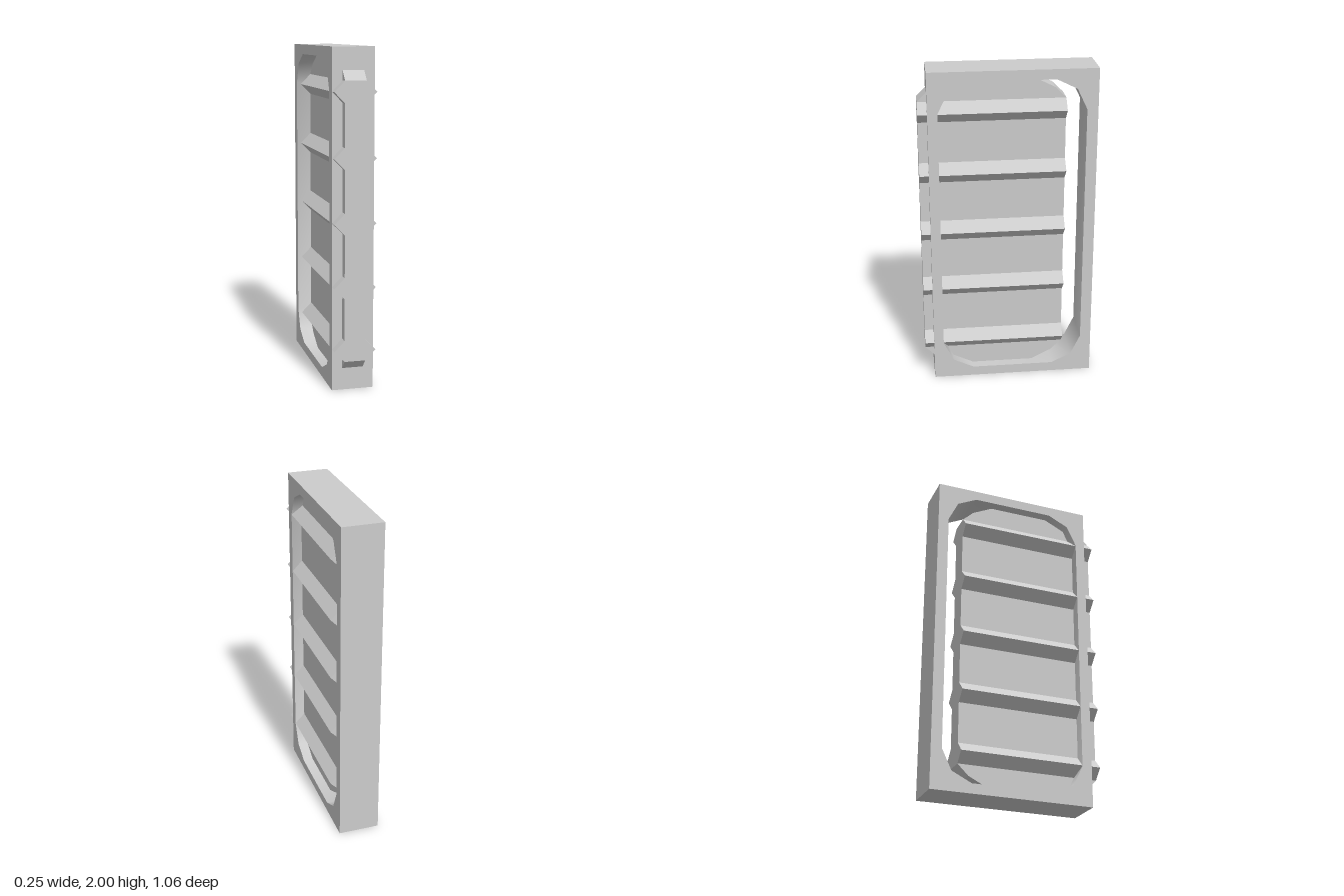
import * as THREE from 'three';
import { toCreasedNormals } from 'three/addons/utils/BufferGeometryUtils.js';

const material = new THREE.MeshStandardMaterial({ color: 0xcccccc });

// Counter-clockwise outline mirrored about y = 1; upper points run front to back as [z, y]
function mirroredOutline(upper) {
  const lower = upper.map(([z, y]) => [z, 2 - y]).reverse();
  return [...upper, ...lower].map(([z, y]) => new THREE.Vector2(z, y));
}

// Extrudes a z-y outline along x, centred on x = 0; edges below the crease angle are smoothed
function slab(name, shape, width, crease) {
  const geometry = new THREE.ExtrudeGeometry(shape, { depth: width, bevelEnabled: false });
  geometry.translate(0, 0, -width / 2);
  geometry.rotateY(-Math.PI / 2);
  const mesh = new THREE.Mesh(toCreasedNormals(geometry, crease), material);
  mesh.name = name;
  return mesh;
}

export function createModel() {
  const model = new THREE.Group();
  model.name = 'slidingDoor';

  // Surrounding frame with a softly rounded opening
  const frame = new THREE.Shape(mirroredOutline([[0.472, 2], [-0.528, 2]]));
  frame.holes.push(new THREE.Path(mirroredOutline([
    [0.412, 1.755], [0.35, 1.88], [0.225, 1.94],
    [-0.28, 1.94], [-0.402, 1.88], [-0.462, 1.755],
  ])));
  model.add(slab('frame', frame, 0.25, 0.8));

  // Thin door panel, slid partly out through the front of the frame
  const panel = new THREE.Shape(mirroredOutline([
    [0.528, 1.813], [0.465, 1.875], [0.34, 1.94],
    [-0.155, 1.94], [-0.28, 1.878], [-0.347, 1.813],
  ]));
  model.add(slab('doorPanel', panel, 0.125, 0.1));

  // Horizontal ridges, pointed on both sides of the panel
  const ridge = new THREE.Shape([
    [0.124, 0], [0.0625, 0.0625], [-0.0625, 0.0625],
    [-0.124, 0], [-0.0625, -0.0625], [0.0625, -0.0625],
  ].map(([x, y]) => new THREE.Vector2(x, y)));
  const ridgeGeometry = new THREE.ExtrudeGeometry(ridge, { depth: 0.875, bevelEnabled: false });
  const ridges = new THREE.Group();
  ridges.name = 'ridges';
  for (let i = 0; i < 5; i++) {
    const mesh = new THREE.Mesh(ridgeGeometry, material);
    mesh.name = `ridge${i + 1}`;
    mesh.position.set(0, 0.25 + i * 0.375, -0.347);
    ridges.add(mesh);
  }
  model.add(ridges);
  return model;
}
